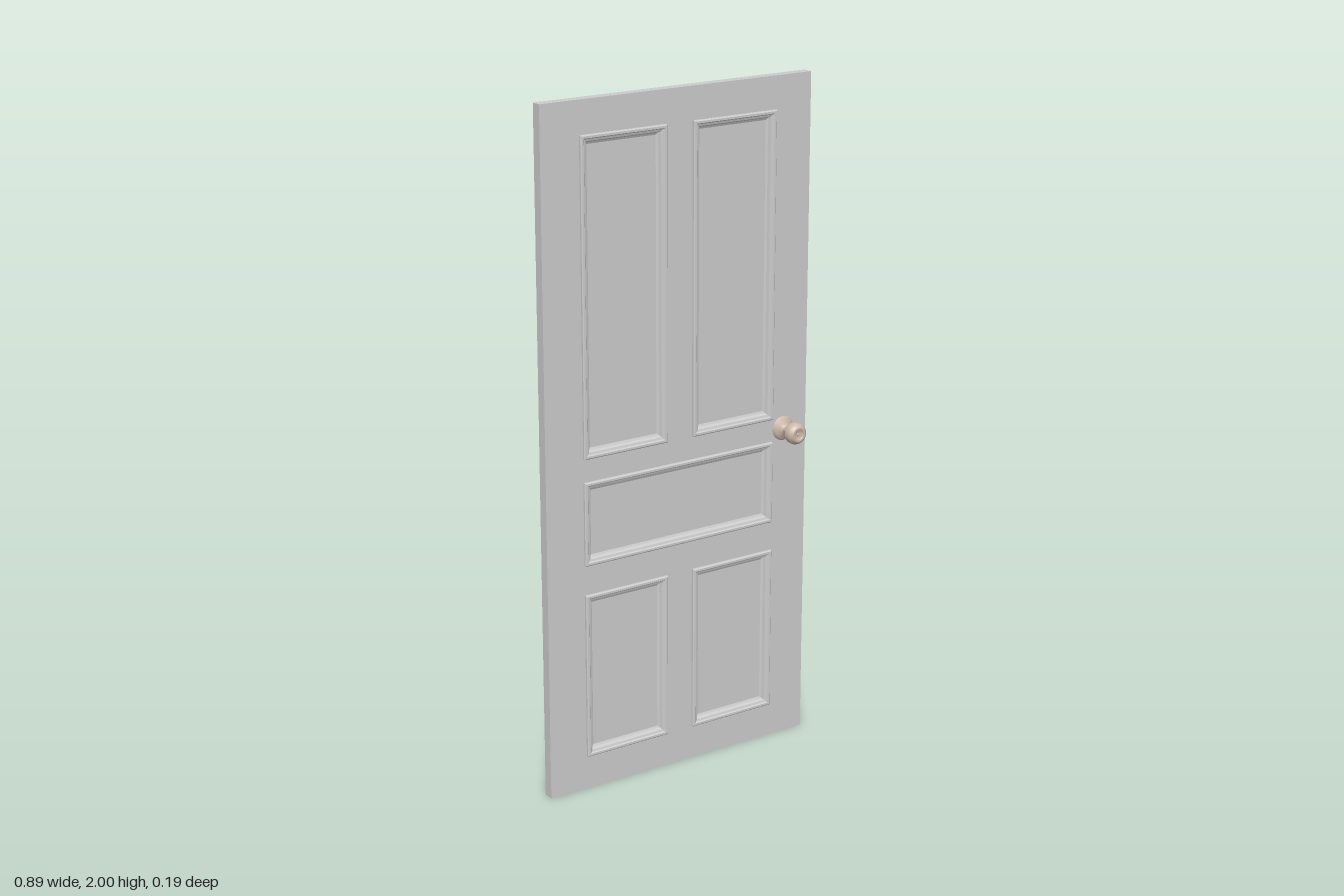
import * as THREE from 'three';

const FRONT = 0.013, BACK = -0.018, MID = (FRONT + BACK) / 2;

// Outer moulding rectangles: left, bottom, right, top
const FRAMES = [
  [-0.322, 1.0, -0.045, 1.905],
  [0.042, 1.0, 0.322, 1.905],
  [-0.322, 0.685, 0.322, 0.932],
  [-0.322, 0.1, -0.045, 0.597],
  [0.042, 0.1, 0.322, 0.597],
];

// Moulding section: [inset from outer edge, z]
const MOULDING = [
  [0, FRONT], [0, 0.019], [0.003, 0.022], [0.009, 0.022],
  [0.012, 0.018], [0.018, 0.016], [0.022, 0.007], [0.028, 0.004], [0.028, -0.004],
];

// Corners of a rectangle moved inward, anticlockwise from the front
function corners([l, b, r, t], d) {
  return [[l + d, b + d], [r - d, b + d], [r - d, t - d], [l + d, t - d]];
}

// Sweeps a section round a rectangle with mitred corners
function mitredFrame(rect, section) {
  const pos = [];
  for (let s = 0; s < section.length - 1; s++) {
    const [d0, z0] = section[s], [d1, z1] = section[s + 1];
    const lo = corners(rect, d0), hi = corners(rect, d1);
    for (let i = 0; i < 4; i++) {
      const j = (i + 1) % 4;
      const a = [...lo[i], z0], b = [...lo[j], z0], c = [...hi[j], z1], e = [...hi[i], z1];
      pos.push(...a, ...b, ...c, ...a, ...c, ...e);
    }
  }
  const g = new THREE.BufferGeometry();
  g.setAttribute('position', new THREE.Float32BufferAttribute(pos, 3));
  g.computeVertexNormals();
  return g;
}

function toPath(Type, points) {
  return new Type(points.map(([x, y]) => new THREE.Vector2(x, y)));
}

export function createModel() {
  const model = new THREE.Group();
  model.name = 'door';
  const paint = new THREE.MeshStandardMaterial({ color: 0xcccccc });
  const metal = new THREE.MeshStandardMaterial({ color: 0xccb9aa });
  const add = (parent, name, geometry, material) => {
    const mesh = new THREE.Mesh(geometry, material);
    mesh.name = name;
    parent.add(mesh);
    return mesh;
  };

  // Stiles and rails in one slab, with an opening for each panel
  const outline = toPath(THREE.Shape, corners([-0.443, 0, 0.443, 2], 0));
  for (const f of FRAMES) outline.holes.push(toPath(THREE.Path, corners(f, 0.015).reverse()));
  const slab = new THREE.ExtrudeGeometry(outline, { depth: FRONT - BACK, bevelEnabled: false });
  slab.translate(0, 0, BACK);
  add(model, 'doorFrame', slab, paint);

  // Recessed panels and their front mouldings
  for (const f of FRAMES) {
    const [l, b, r, t] = f;
    const panel = new THREE.BoxGeometry(r - l - 0.03, t - b - 0.03, 0.014);
    panel.translate((l + r) / 2, (b + t) / 2, -0.003);
    add(model, 'panel', panel, paint);
    add(model, 'moulding', mitredFrame(f, MOULDING), paint);
  }

  // Handles: each smooth run of [radius, distance from door centre] is turned separately for crisp edges
  const base = FRONT - MID;
  const rose = [[0.036, base - 0.002], [0.036, base + 0.004], [0.03, base + 0.010], [0.018, base + 0.014], [0.013, base + 0.02]];
  const neck = [[0.013, base + 0.02], [0.012, 0.05], [0.014, 0.057], [0.023, 0.06]];
  const grip = [[0.023, 0.06], [0.03, 0.065], [0.032, 0.07], [0.032, 0.083], [0.029, 0.091], [0.022, 0.097]];
  const face = [[0.022, 0.097], [0.016, 0.097]];
  const dish = [[0.016, 0.097], [0.013, 0.093], [0, 0.092]];
  for (const side of [1, -1]) {
    const handle = new THREE.Group();
    handle.name = side > 0 ? 'frontKnob' : 'backKnob';
    Object.entries({ rose, neck, grip, face, dish }).forEach(([name, pts]) => {
      const g = new THREE.LatheGeometry(pts.map(([r, y]) => new THREE.Vector2(r, y)), 24);
      g.rotateX(Math.PI / 2);
      add(handle, name, g, metal);
    });
    // Keyhole stud in the middle of the knob
    const stud = new THREE.CylinderGeometry(0.005, 0.006, 0.006, 12);
    stud.rotateX(Math.PI / 2).translate(0, 0, 0.094);
    add(handle, 'stud', stud, metal);
    handle.position.set(0.361, 0.967, MID);
    if (side < 0) handle.rotation.y = Math.PI;
    model.add(handle);
  }
  return model;
}
